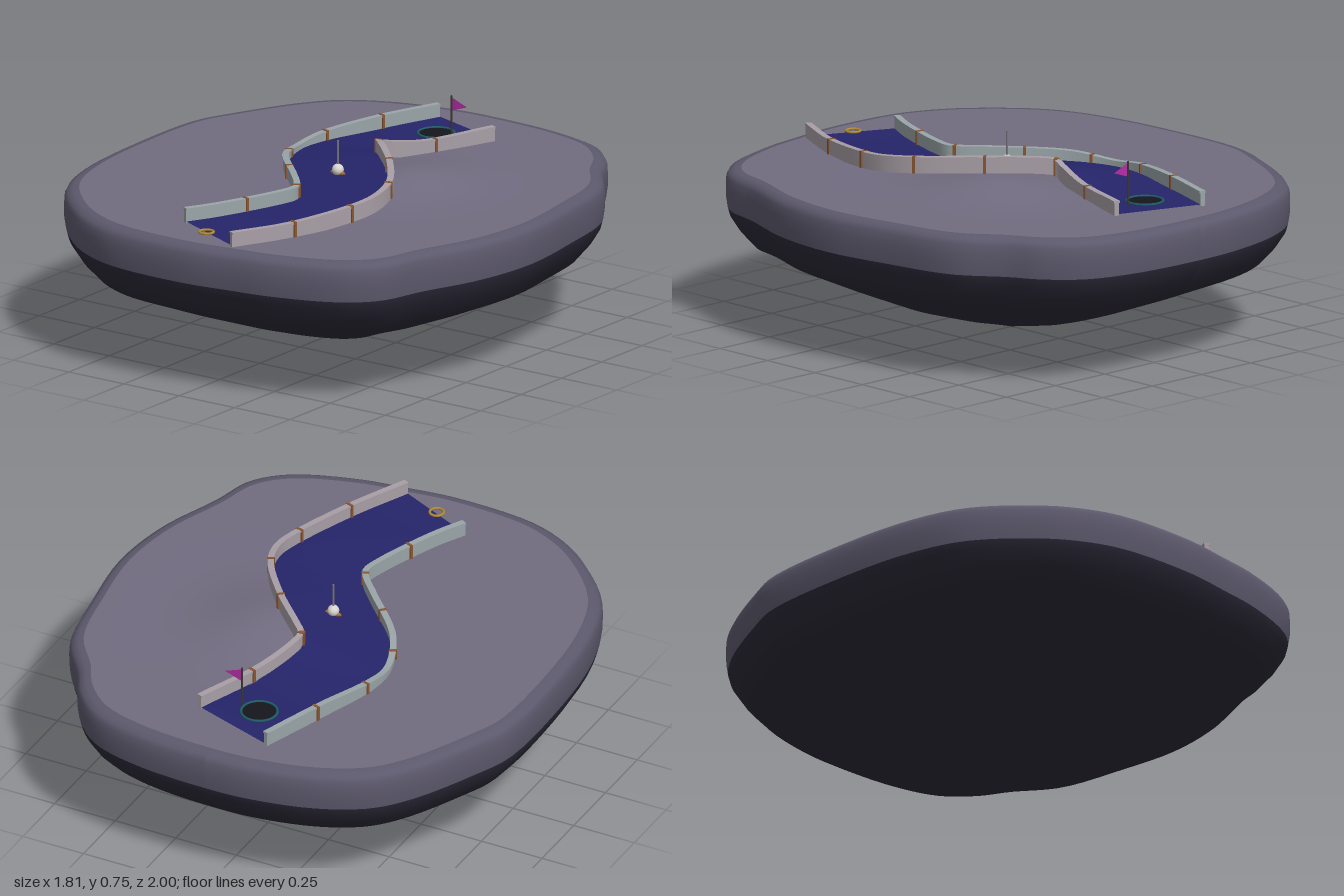
import * as THREE from 'three';
import { toCreasedNormals } from 'three/addons/utils/BufferGeometryUtils.js';

const V = (x, y, z) => new THREE.Vector3(x, y, z);

function add(parent, name, geometry, color, x = 0, y = 0, z = 0, side = THREE.FrontSide) {
  const mesh = new THREE.Mesh(geometry, new THREE.MeshStandardMaterial({ color, side }));
  mesh.name = name;
  mesh.position.set(x, y, z);
  parent.add(mesh);
  return mesh;
}

// Skin over rows of equally many points
function loft(rows) {
  const n = rows[0].length, index = [];
  for (let i = 0; i < rows.length - 1; i++) {
    for (let j = 0; j < n - 1; j++) {
      const a = i * n + j, d = a + n;
      index.push(a, d, a + 1, a + 1, d, d + 1);
    }
  }
  const g = new THREE.BufferGeometry().setFromPoints(rows.flat());
  g.setIndex(index);
  g.computeVertexNormals();
  return g;
}

// Island outline, clockwise from the back as seen from above
const OUTLINE = [
  [0, -1], [0.3, -0.98], [0.5, -0.92], [0.62, -0.81], [0.69, -0.69], [0.81, -0.52], [0.87, -0.24],
  [0.905, 0.05], [0.87, 0.32], [0.78, 0.57], [0.73, 0.74], [0.62, 0.85], [0.38, 0.94], [0.2, 0.97],
  [0, 0.995], [-0.31, 0.98], [-0.46, 0.93], [-0.6, 0.84], [-0.79, 0.63], [-0.87, 0.4], [-0.905, 0.05],
  [-0.895, -0.3], [-0.84, -0.45], [-0.71, -0.71], [-0.6, -0.84], [-0.42, -0.935], [-0.18, -0.99]];

// Paired edge points of the lane from back to front: x, z, rise
const LEFT_EDGE = [
  [-0.165, -0.835, 0], [-0.255, -0.57, 0], [-0.33, -0.33, -0.015], [-0.335, -0.2, -0.028],
  [-0.27, -0.03, -0.01], [-0.08, 0.18, 0], [0, 0.27, 0], [0.02, 0.31, 0], [0.003, 0.4, 0],
  [-0.09, 0.65, 0], [-0.148, 0.762, 0]];
const RIGHT_EDGE = [
  [0.165, -0.725, 0], [0.06, -0.43, 0], [0.008, -0.27, 0.03], [0.002, -0.235, 0.042],
  [0.04, -0.195, 0.048], [0.2, -0.03, 0.048], [0.33, 0.15, 0.038], [0.365, 0.27, 0.027],
  [0.36, 0.37, 0.017], [0.27, 0.68, 0], [0.165, 0.905, 0]];

const LANE_Y = 0.583;
const WALL_H = 0.05;
const edgeCurve = (pts) => new THREE.CatmullRomCurve3(pts.map(([x, z, r]) => V(x, LANE_Y + r, z)));

const hill = (x, z) => 0.045 * Math.exp(-0.5 * (((x - 0.22) / 0.15) ** 2 + ((z + 0.12) / 0.18) ** 2));

function buildIsland(parent) {
  const outline = new THREE.CatmullRomCurve3(OUTLINE.map(([x, z]) => V(x, 0, z)), true).getPoints(120);
  const ring = ([s, y]) => outline.map((p) => V(p.x * s, y, p.z * s));

  const under = [[0, 0], [0.25, 0.066], [0.49, 0.128], [0.7, 0.208], [0.9, 0.29], [0.95, 0.345], [0.985, 0.4], [0.993, 0.43]];
  add(parent, 'islandUnderside', loft(under.map(ring)), 0x2b2937);

  const rim = [[0.993, 0.43], [0.999, 0.47], [1, 0.51], [0.998, 0.545], [0.988, 0.565], [0.968, 0.575], [0.945, 0.577]];
  add(parent, 'islandRim', loft(rim.map(ring)), 0x5d596d);

  // Flat top with a low mound beside the bend
  const top = [];
  for (let i = 0; i <= 32; i++) {
    const row = ring([0.945 * (1 - i / 32), 0.577]);
    row.forEach((p) => { p.y += hill(p.x, p.z); });
    top.push(row);
  }
  add(parent, 'islandTop', loft(top), 0x716c80);
}

// Upright rectangular section swept along a curve, with closed ends
function sweepWall(curve, t0, t1, steps, width, y0, y1) {
  const rows = [];
  for (let i = 0; i <= steps; i++) {
    const t = t0 + (t1 - t0) * i / steps;
    const p = curve.getPointAt(t), d = curve.getTangentAt(t);
    const s = V(d.z, 0, -d.x).normalize().multiplyScalar(width / 2);
    const corner = (k, y) => V(p.x + k * s.x, p.y + y, p.z + k * s.z);
    rows.push([corner(-1, y0), corner(-1, y1), corner(1, y1), corner(1, y0), corner(-1, y0)]);
  }
  const cap = (row) => {
    const c = row[0].clone().lerp(row[2], 0.5);
    return row.map(() => c.clone());
  };
  return toCreasedNormals(loft([cap(rows[0]), ...rows, cap(rows[steps])]), 0.6);
}

function buildWall(parent, name, curve, color) {
  const wall = new THREE.Group();
  wall.name = name;
  parent.add(wall);
  add(wall, 'wallPanel', sweepWall(curve, 0, 1, 80, 0.018, -0.012, WALL_H - 0.008), color);
  add(wall, 'wallRail', sweepWall(curve, 0, 1, 80, 0.024, WALL_H - 0.008, WALL_H), color);
  // Joint bands at equal spacing
  for (let i = 1; i < 7; i++) {
    add(wall, 'jointBand', sweepWall(curve, i / 7 - 0.003, i / 7 + 0.003, 1, 0.029, -0.012, WALL_H + 0.002), 0x8a5530);
  }
}

function buildLane(parent) {
  const left = edgeCurve(LEFT_EDGE), right = edgeCurve(RIGHT_EDGE);
  const rows = [];
  for (let i = 0; i <= 80; i++) {
    const a = left.getPoint(i / 80), b = right.getPoint(i / 80);
    a.y = Math.max(a.y, LANE_Y);
    rows.push(Array.from({ length: 9 }, (_, j) => a.clone().lerp(b, j / 8)));
  }
  add(parent, 'laneFloor', loft(rows), 0x25246a, 0, 0, 0, THREE.DoubleSide);
  buildWall(parent, 'leftEdgeWall', left, 0x9aa5a8);
  buildWall(parent, 'rightEdgeWall', right, 0xa89fa6);
}

function flatRing(parent, name, radius, tube, color, x, y, z) {
  add(parent, name, new THREE.TorusGeometry(radius, tube, 8, 32), color, x, y, z).rotation.x = Math.PI / 2;
}

export function createModel() {
  const model = new THREE.Group();
  model.name = 'floatingGolfIsland';
  buildIsland(model);
  buildLane(model);

  // Hole with its rim
  add(model, 'hole', new THREE.CylinderGeometry(0.066, 0.066, 0.006, 32), 0x14161c, -0.045, LANE_Y, -0.655);
  flatRing(model, 'holeRim', 0.067, 0.005, 0x1f5a66, -0.045, LANE_Y + 0.003, -0.655);

  // Flag
  add(model, 'flagPole', new THREE.CylinderGeometry(0.004, 0.004, 0.165, 10), 0x3a372f, 0.032, 0.6625, -0.645);
  const pennant = new THREE.Shape([new THREE.Vector2(0, 0), new THREE.Vector2(0.068, 0.024), new THREE.Vector2(0, 0.05)]);
  add(model, 'flag', new THREE.ShapeGeometry(pennant), 0xb52fa8, 0.034, 0.688, -0.645, THREE.DoubleSide);

  // Tee ring
  flatRing(model, 'teeRing', 0.026, 0.005, 0xb08a35, 0.003, LANE_Y + 0.004, 0.835);

  // Marker in the middle of the lane
  const marker = new THREE.Group();
  marker.name = 'laneMarker';
  marker.position.set(0.004, 0.605, 0.022);
  model.add(marker);
  add(marker, 'markerBase', new THREE.SphereGeometry(0.034, 16, 8), 0xa8703a, 0, 0.006, 0).scale.set(1, 0.3, 0.3);
  add(marker, 'markerBall', new THREE.SphereGeometry(0.022, 20, 14), 0xd8d4d0, 0, 0.018, 0);
  add(marker, 'markerPole', new THREE.CylinderGeometry(0.004, 0.004, 0.115, 10), 0x77757a, 0, 0.0725, 0);
  return model;
}
